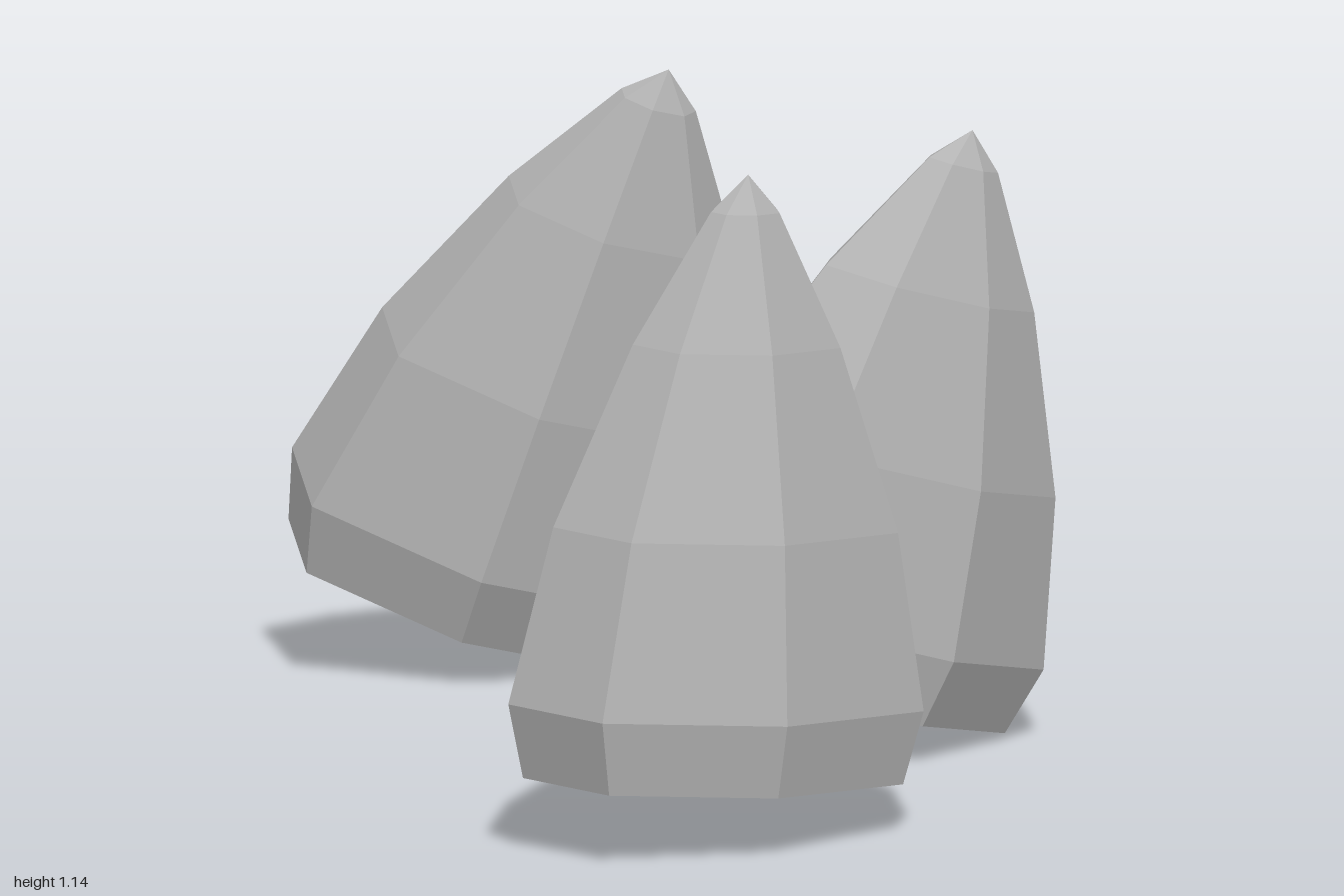
import * as THREE from 'three';

const stone = new THREE.MeshStandardMaterial({ color: 0xb4b4b4, flatShading: true });
stone.name = 'stone grey';

// Shared spike outline (radius, height): closed base, flared rim, curved taper to a point
const profile = [
  [0, -0.14], [0.915, -0.14], [1, 0], [0.83, 0.335], [0.5, 0.68], [0.165, 0.93], [0, 1],
].map(([r, h]) => new THREE.Vector2(r, h));

// Each spike: rim centre, axis to the tip, and the two half-widths of its leaning oval rim
const spikes = [
  { name: 'frontSpike', centre: [0.631, 0.237, 0.584], axis: [0.03, 0.913, -0.034],
    u: [-0.282, 0.01, 0.021], v: [-0.057, 0.027, 0.422] },
  { name: 'middleSpike', centre: [0.335, 0.235, -0.242], axis: [0.195, 0.838, -0.158],
    u: [-0.295, 0.09, 0.142], v: [0.012, 0.07, 0.359] },
  { name: 'backSpike', centre: [-0.56, 0.24, -0.67], axis: [0.335, 0.833, 0.03],
    u: [-0.34, 0.135, 0.16], v: [0.026, -0.015, 0.305] },
];

// Seven-sided lathe, sheared and stretched into place
function makeSpike({ name, centre, axis, u, v }) {
  const vec = (a) => new THREE.Vector3(...a);
  const place = new THREE.Matrix4().makeBasis(vec(v), vec(axis), vec(u)).setPosition(vec(centre));
  const geometry = new THREE.LatheGeometry(profile, 7).toNonIndexed();
  geometry.applyMatrix4(place);
  geometry.computeVertexNormals();
  const mesh = new THREE.Mesh(geometry, stone);
  mesh.name = name;
  return mesh;
}

export function createModel() {
  const group = new THREE.Group();
  group.name = 'stoneSpikes';
  spikes.forEach((s) => group.add(makeSpike(s)));
  return group;
}
